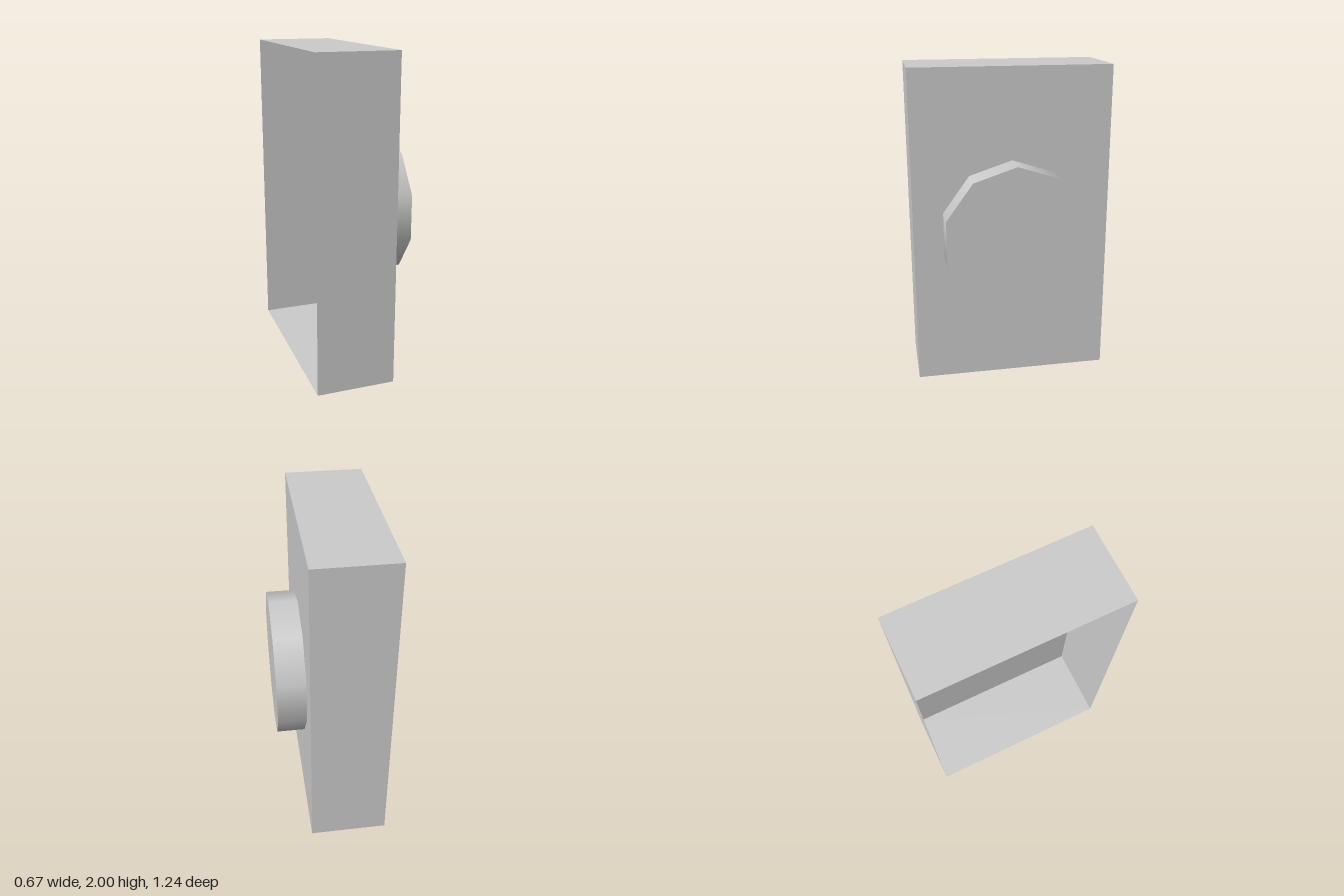
import * as THREE from 'three';

const WIDTH = 1.235, HEIGHT = 2, BACK = -0.333, FACE = 0.155, KNOB_END = 0.333;
const KNOB_Y = 0.983, KNOB_R = 0.453, SIDES = 10;

export function createModel() {
  const model = new THREE.Group();
  model.name = 'wallBox';
  const material = new THREE.MeshStandardMaterial({ color: 0xcccccc, side: THREE.DoubleSide });
  const add = (name, geometry, x, y, z) => {
    const mesh = new THREE.Mesh(geometry, material);
    mesh.name = name;
    mesh.position.set(x, y, z);
    model.add(mesh);
    return mesh;
  };

  // Built facing +z, then turned to face +x
  const depth = FACE - BACK, midZ = (FACE + BACK) / 2;

  // Four thin walls, open at the back
  for (const s of [-1, 1]) {
    add(s > 0 ? 'rearSideWall' : 'frontSideWall',
      new THREE.PlaneGeometry(depth, HEIGHT).rotateY(s * Math.PI / 2), s * WIDTH / 2, HEIGHT / 2, midZ);
    add(s > 0 ? 'topWall' : 'bottomWall',
      new THREE.PlaneGeometry(WIDTH, depth).rotateX(-s * Math.PI / 2), 0, s > 0 ? HEIGHT : 0, midZ);
  }

  // Face plate with a ten-sided opening behind the knob
  const w = WIDTH / 2;
  const plate = new THREE.Shape([
    new THREE.Vector2(-w, 0), new THREE.Vector2(w, 0),
    new THREE.Vector2(w, HEIGHT), new THREE.Vector2(-w, HEIGHT),
  ]);
  const rim = [];
  for (let i = 0; i < SIDES; i++) {
    const a = Math.PI / 2 - (i / SIDES) * Math.PI * 2;
    rim.push(new THREE.Vector2(Math.cos(a) * KNOB_R, KNOB_Y + Math.sin(a) * KNOB_R));
  }
  plate.holes.push(new THREE.Path(rim));
  add('facePlate', new THREE.ShapeGeometry(plate), 0, 0, FACE);

  // Hollow knob: smooth-shaded rim and flat cap
  const knobDepth = KNOB_END - FACE;
  add('knobRim', new THREE.CylinderGeometry(KNOB_R, KNOB_R, knobDepth, SIDES, 1, true).rotateX(Math.PI / 2),
    0, KNOB_Y, FACE + knobDepth / 2);
  add('knobCap', new THREE.CircleGeometry(KNOB_R, SIDES, Math.PI / 2), 0, KNOB_Y, KNOB_END);

  model.rotation.y = Math.PI / 2;
  return model;
}
